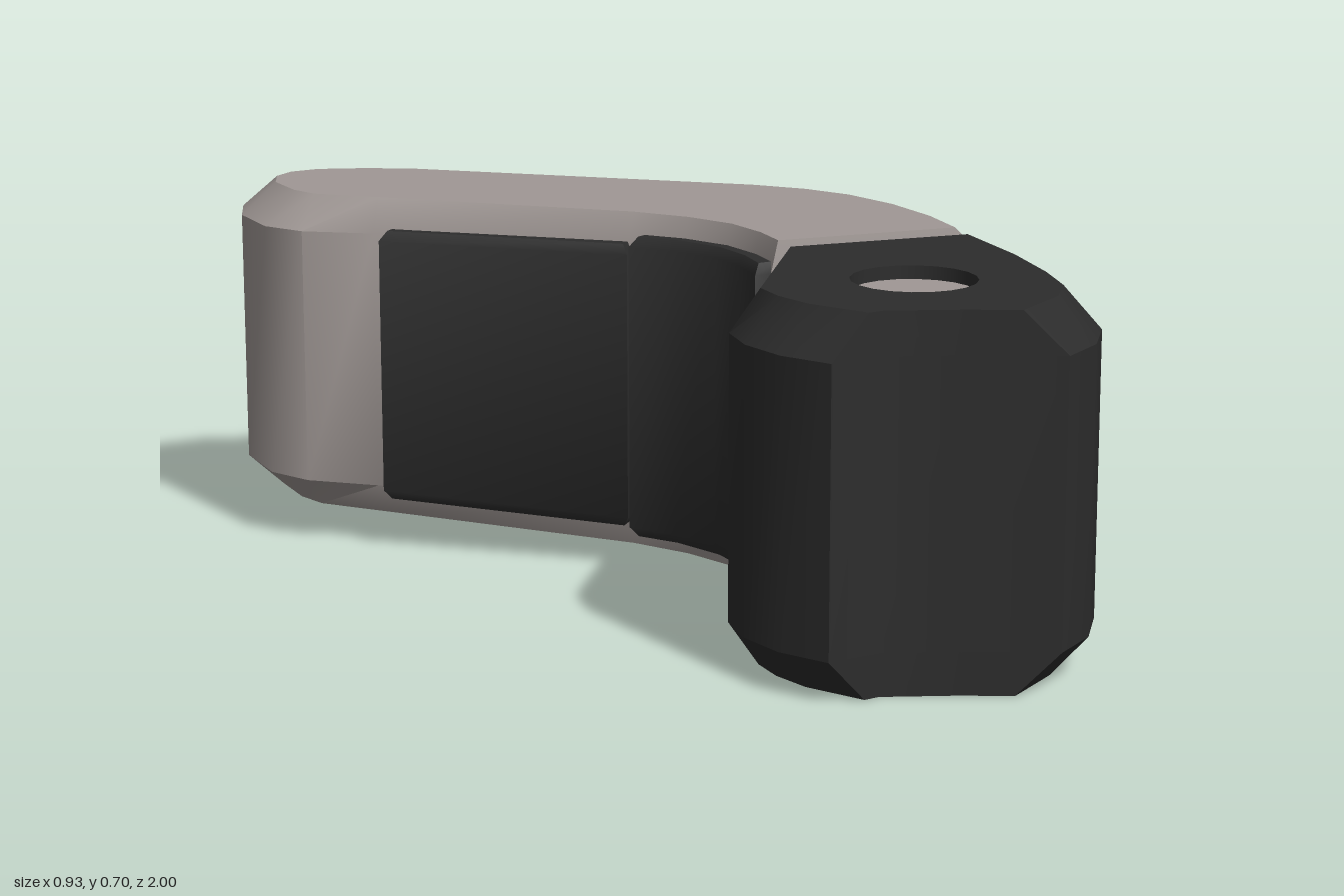
import * as THREE from 'three';
import { toCreasedNormals } from 'three/addons/utils/BufferGeometryUtils.js';

// Insets a counter-clockwise outline of [x, z, inset of the edge that starts here]
function insetOutline(points) {
  const n = points.length;
  const edge = (i) => {
    const a = points[i % n], b = points[(i + 1) % n];
    const d = new THREE.Vector2(b[0] - a[0], a[1] - b[1]).normalize();
    return { normal: new THREE.Vector2(-d.y, d.x), inset: a[2] };
  };
  return points.map(([x, z], i) => {
    const p = edge(i + n - 1), q = edge(i);
    const c = p.normal.cross(q.normal);
    const out = new THREE.Vector2(x, -z);
    if (Math.abs(c) < 0.5) {
      const mid = p.normal.clone().add(q.normal).normalize();
      return out.addScaledVector(mid, (p.inset + q.inset) / 2);
    }
    // meeting point of the two shifted edges
    out.x += (p.inset * q.normal.y - q.inset * p.normal.y) / c;
    out.y += (q.inset * p.normal.x - p.inset * q.normal.x) / c;
    return out;
  });
}

// Upright block with chamfered rims, an underside rising to the back, and an optional hole
function chamferedBlock(points, bottom, top, chamfer, hole = []) {
  const outer = points.map(([x, z]) => new THREE.Vector2(x, -z));
  const inner = insetOutline(points);
  const position = [];
  const put = (v, y) => {
    const rise = Math.max(0, (0.45 + v.y) * 0.05);
    position.push(v.x, top - (top - y) * (1 - rise / top), -v.y);
  };
  const wall = (low, y0, high, y1) => low.forEach((a, i) => {
    const j = (i + 1) % low.length;
    put(a, y0); put(low[j], y0); put(high[j], y1);
    put(a, y0); put(high[j], y1); put(high[i], y1);
  });
  wall(inner, bottom, outer, bottom + chamfer);
  wall(outer, bottom + chamfer, outer, top - chamfer);
  wall(outer, top - chamfer, inner, top);
  if (hole.length) wall(hole, bottom, hole, top);
  const all = [...inner, ...hole];
  for (const [a, b, c] of THREE.ShapeUtils.triangulateShape(inner, hole.length ? [hole] : [])) {
    [a, b, c].forEach((i) => put(all[i], top));
    [a, c, b].forEach((i) => put(all[i], bottom));
  }
  const geometry = new THREE.BufferGeometry();
  geometry.setAttribute('position', new THREE.Float32BufferAttribute(position, 3));
  return toCreasedNormals(geometry, 0.65);
}

export function createModel() {
  const group = new THREE.Group();
  const grey = new THREE.MeshStandardMaterial({ name: 'warm grey', color: 0xa09895 });
  const dark = new THREE.MeshStandardMaterial({ name: 'charcoal', color: 0x2c2c2c });
  const add = (name, geometry, material) => {
    const mesh = new THREE.Mesh(geometry, material);
    mesh.name = name;
    group.add(mesh);
    return mesh;
  };

  // bent arm with a rounded back end
  const e = 0.07;
  add('arm', chamferedBlock([
    [-0.07, 0.27, 0.01], [0.325, 0.48, e], [0.39, 0.36, e], [0.44, 0.22, e], [0.462, 0.08, e],
    [0.45, -0.04, e], [0.41, -0.16, e], [0.08, -0.8, e], [0.01, -0.89, e], [-0.08, -0.97, e],
    [-0.17, -1, e], [-0.26, -0.975, e], [-0.33, -0.9, e], [-0.375, -0.78, e], [-0.36, -0.69, 0.05],
    [-0.28, -0.57, 0.03], [-0.045, -0.11, 0.02], [-0.01, 0, 0.02], [-0.005, 0.1, 0.02], [-0.03, 0.19, 0.02],
  ], 0.01, 0.7, 0.07), grey);

  // knuckle block with a cut front corner and a pin hole
  const centre = { x: -0.11, z: 0.64 }, radius = 0.115, sides = 20;
  const hole = Array.from({ length: sides }, (_, i) => {
    const t = -i / sides * Math.PI * 2;
    return new THREE.Vector2(centre.x + radius * Math.cos(t), -centre.z + radius * Math.sin(t));
  });
  add('knuckle', chamferedBlock([
    [-0.08, 0.26, 0.05], [-0.39, 0.45, 0.06], [-0.44, 0.53, e], [-0.463, 0.63, e], [-0.452, 0.735, 0],
    [-0.35, 0.765, 0], [-0.25, 0.865, 0], [-0.135, 1, e], [-0.03, 0.98, e], [0.07, 0.92, e],
    [0.15, 0.82, e], [0.24, 0.68, e], [0.338, 0.49, 0.01],
  ], 0, 0.69, 0.08, hole), dark);

  // pin sunk slightly into both ends of the hole
  add('pin', new THREE.CylinderGeometry(radius, radius, 0.64, sides), grey)
    .position.set(centre.x, 0.345, centre.z);

  // dark pads lining the inside of the bend
  add('straightPad', chamferedBlock([
    [-0.295, -0.54, 0.012], [-0.07, -0.09, 0.012], [-0.02, -0.11, 0.012], [-0.24, -0.56, 0.012],
  ], 0.06, 0.645, 0.02), dark);
  add('curvedPad', chamferedBlock([
    [-0.065, -0.09, 0.012], [-0.035, 0, 0.012], [-0.03, 0.1, 0.012], [-0.055, 0.18, 0.012],
    [-0.1, 0.26, 0.012], [-0.03, 0.28, 0.012], [0.03, 0.1, 0.012], [0.01, -0.1, 0.012],
  ], 0.04, 0.66, 0.02), dark);

  return group;
}
